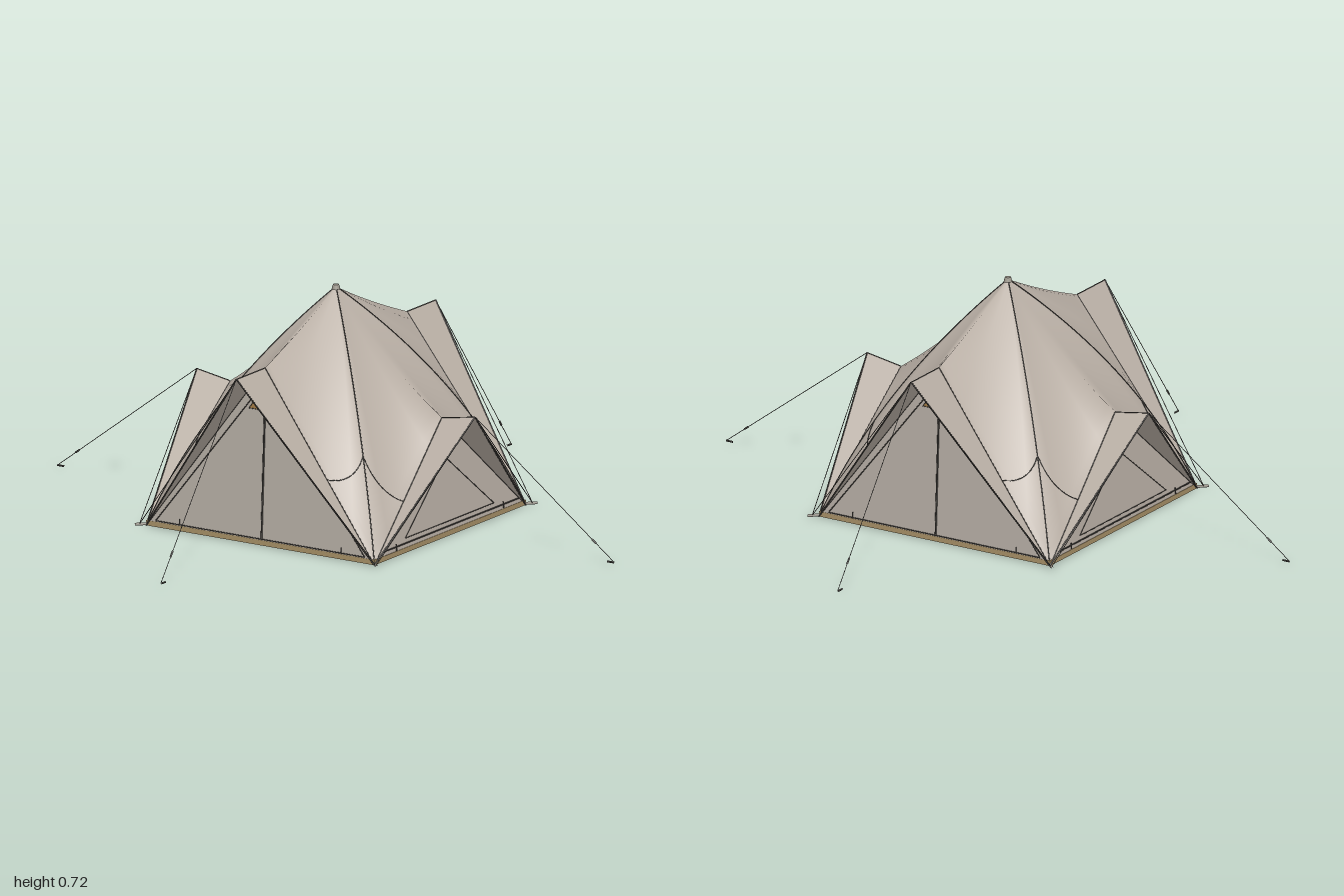
import * as THREE from 'three';

const mat = (name, color, side = THREE.FrontSide) => {
  const m = new THREE.MeshStandardMaterial({ color, side });
  m.name = name;
  return m;
};
const V = (x, y, z) => new THREE.Vector3(x, y, z);

const HALF = 0.41;   // half width of the floor
const TOP = 0.71;    // height of the apex

export function createModel() {
  const canvas = mat('canvas', 0xbab0a6, THREE.DoubleSide);
  const door = mat('doorCanvas', 0xb4aca3, THREE.DoubleSide);
  const seam = mat('seam', 0x45423e);
  const floorTan = mat('groundsheet', 0xa68f66);
  const metal = mat('metal', 0x9c978c);
  const vent = mat('ventMesh', 0xa07a45, THREE.DoubleSide);

  const tent = new THREE.Group();
  tent.name = 'tent';

  const add = (parent, name, geo, material) => {
    const m = new THREE.Mesh(geo, material);
    m.name = name;
    parent.add(m);
    return m;
  };
  // flat triangles, three points each
  const tris = (parent, name, pts, material) => {
    const g = new THREE.BufferGeometry().setFromPoints(pts);
    g.computeVertexNormals();
    return add(parent, name, g, material);
  };
  // straight thin rods along a chain of points
  const line = (parent, name, pts, r = 0.0017, material = seam) => {
    const path = new THREE.CurvePath();
    for (let i = 1; i < pts.length; i++) path.add(new THREE.LineCurve3(pts[i - 1], pts[i]));
    path.curves.forEach((c) => add(parent, name, new THREE.TubeGeometry(c, 1, r, 5), material));
  };

  // Roof spokes: ridges over the four sides, bowed poles to the four corners
  const curve = (cr, cy, r, y) => new THREE.QuadraticBezierCurve(
    new THREE.Vector2(0, TOP), new THREE.Vector2(cr, cy), new THREE.Vector2(r, y));
  const frontRidge = curve(0.18, 0.62, 0.385, 0.545);
  const sideRidge = curve(0.17, 0.505, 0.38, 0.36);
  const pole = curve(0.28, 0.4, HALF, 0);
  const spoke = (k, t) => {
    k = (k + 8) % 8;
    const c = k % 2 ? pole : k % 4 ? sideRidge : frontRidge;
    const p = c.getPoint(t);
    const a = (k * Math.PI) / 4;
    return V(Math.round(Math.sin(a)) * p.x, p.y, Math.round(Math.cos(a)) * p.x);
  };
  const roofPoint = (k, s, t) => spoke(k, t).lerp(spoke(k + 1, t), s);

  // Roof: lofted rings from apex to eaves
  const SEG = 5, ROWS = 18, N = 8 * SEG;
  const pos = [], index = [];
  for (let j = 0; j <= ROWS; j++) {
    for (let i = 0; i < N; i++) {
      pos.push(...roofPoint(Math.floor(i / SEG), (i % SEG) / SEG, j / ROWS).toArray());
      if (j === ROWS) continue;
      const a = j * N + i, b = j * N + ((i + 1) % N);
      index.push(a, a + N, b + N, a, b + N, b);
    }
  }
  const roof = new THREE.BufferGeometry();
  roof.setAttribute('position', new THREE.Float32BufferAttribute(pos, 3));
  roof.setIndex(index);
  roof.computeVertexNormals();
  add(tent, 'roof', roof, canvas);

  // Roof seams along the corner poles and corner patch outlines
  const LIFT = V(0, 0.001, 0);
  for (let k = 1; k < 8; k += 2) {
    const pts = [];
    for (let j = 0; j <= 14; j++) pts.push(spoke(k, j / 14).add(LIFT));
    add(tent, 'poleSeam', new THREE.TubeGeometry(new THREE.CatmullRomCurve3(pts), 28, 0.0017, 5), seam);
    for (const d of [1, -1]) {
      const patch = [];
      for (let j = 0; j <= 6; j++) {
        const f = j / 6;
        patch.push(spoke(k, 0.62 + 0.38 * f).lerp(spoke(k + d, 0.62 + 0.38 * f), 0.43 * f).add(LIFT));
      }
      add(tent, 'patchSeam', new THREE.TubeGeometry(new THREE.CatmullRomCurve3(patch), 12, 0.0014, 5), seam);
    }
  }

  // One side, facing +z: wall panel, awning, guy line and fittings
  function side(name, angle, rootY, rootR, peakY, peakR, guyR, isDoor) {
    const g = new THREE.Group();
    g.name = name;
    g.rotation.y = angle;
    tent.add(g);
    const L = V(-HALF, 0, HALF), R = V(HALF, 0, HALF);
    const root = V(0, rootY, rootR), peak = V(0, peakY, peakR);
    const on = (x, y) => V(x, y, HALF - ((HALF - rootR) * y) / rootY + 0.002);

    tris(g, 'wallPanel', [L, R, root], isDoor ? door : canvas);
    tris(g, 'awning', [L, root, peak, R, peak, root], canvas);
    line(g, 'awningEdge', [L, peak, R], 0.0025);
    line(g, 'eaveSeam', [L, root, R], 0.0015);
    line(g, 'ridgeSeam', [root, peak], 0.0015);

    if (isDoor) {
      line(g, 'doorSeam', [on(-0.375, 0.02), on(0, 0.5), on(0.375, 0.02), on(-0.375, 0.02)]);
      line(g, 'zipper', [on(0.005, 0.018), on(0.005, 0.49)], 0.003);
      for (const s of [-1, 1]) {
        tris(g, 'doorVent', [on(s * 0.012, 0.47), on(s * 0.012, 0.415), on(s * 0.052, 0.415)], vent);
        line(g, 'ventSeam', [on(s * 0.012, 0.47), on(s * 0.052, 0.415), on(s * 0.012, 0.415)], 0.0012);
      }
    } else {
      line(g, 'windowSeam', [on(-0.24, 0.045), on(0, 0.24), on(0.24, 0.045), on(-0.24, 0.045)], 0.0013);
      line(g, 'wallHem', [on(-0.375, 0.03), on(0.375, 0.03)], 0.0022);
    }
    for (const s of [-1, 1]) {
      line(g, 'toggle', [on(s * 0.29, 0.018), on(s * 0.29, 0.038)], 0.002);
      line(g, 'edgeCord', [V(s * 0.425, 0.004, 0.425), peak], 0.0012);
    }

    // Guy line with runner and peg
    const end = V(0, 0.004, guyR);
    line(g, 'guyLine', [peak, end], 0.0011);
    const at = (f) => peak.clone().lerp(end, f);
    line(g, 'guyRunner', [at(0.84), at(0.87)], 0.003);
    line(g, 'guyPeg', [V(0, 0.004, guyR - 0.025), V(0, 0.004, guyR)], 0.003);
  }
  side('frontSide', 0, 0.545, 0.385, 0.545, 0.54, 0.95, true);
  side('backSide', Math.PI, 0.545, 0.385, 0.545, 0.54, 0.95, true);
  side('leftSide', Math.PI / 2, 0.36, 0.38, 0.38, 0.5, 1, false);
  side('rightSide', -Math.PI / 2, 0.36, 0.38, 0.38, 0.5, 1, false);

  // Groundsheet
  add(tent, 'groundsheet', new THREE.BoxGeometry(2 * HALF, 0.016, 2 * HALF), floorTan).position.y = 0.008;

  // Corner pegs
  for (const x of [-1, 1]) for (const z of [-1, 1]) {
    line(tent, 'cornerPeg', [V(x * 0.4, 0.005, z * 0.4), V(x * 0.435, 0.005, z * 0.435)], 0.0045, metal);
  }

  // Apex cap
  add(tent, 'apexCap', new THREE.CylinderGeometry(0.009, 0.013, 0.014, 16), metal).position.y = TOP;

  return tent;
}
